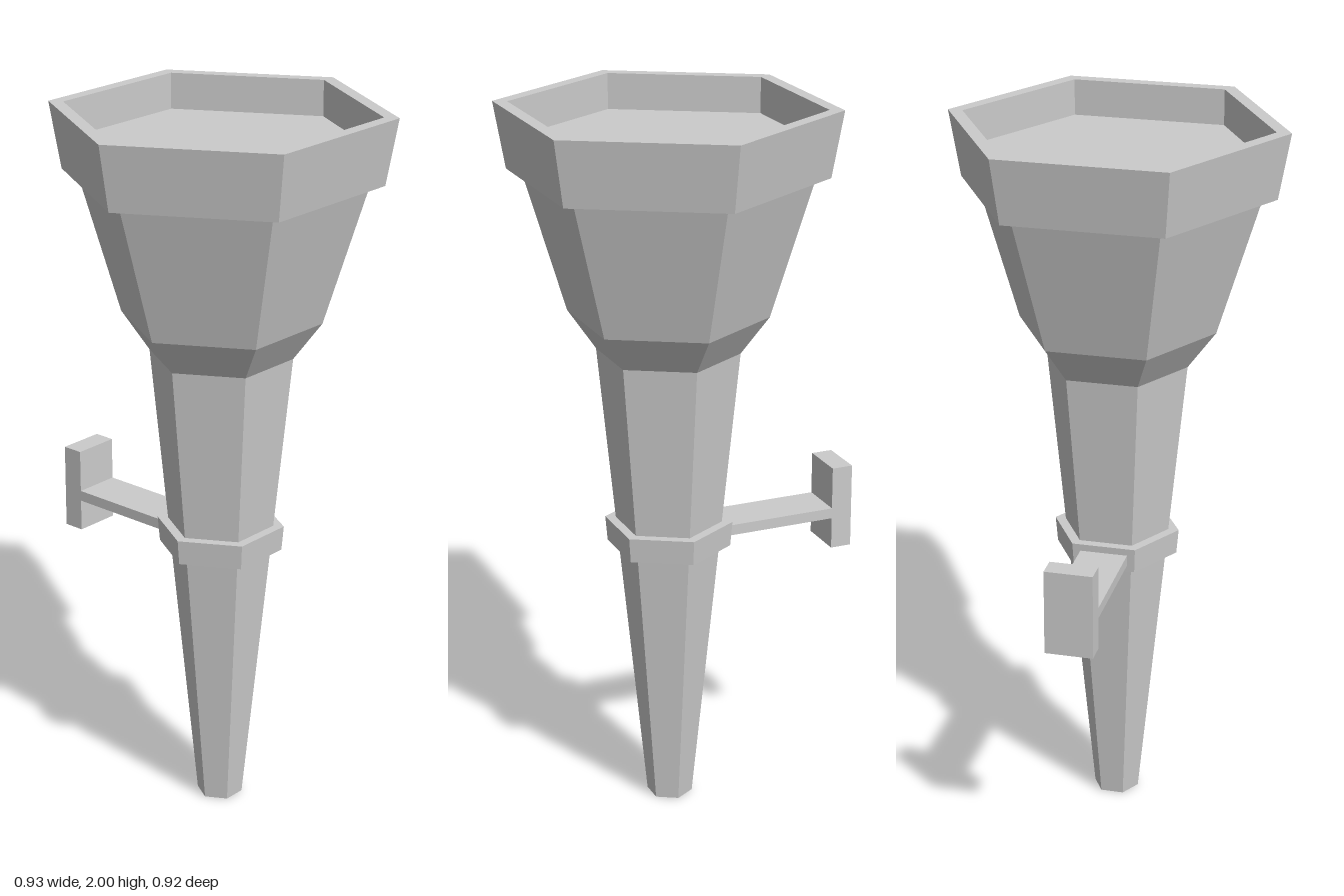
import * as THREE from 'three';

const material = new THREE.MeshStandardMaterial({ color: 0xcccccc, flatShading: true });

// Six-sided solid from [radius, height] pairs, listed from the bottom up the outside
function hexLathe(name, profile) {
  const points = profile.map(([r, y]) => new THREE.Vector2(r, y));
  const mesh = new THREE.Mesh(new THREE.LatheGeometry(points, 6), material);
  mesh.name = name;
  mesh.position.x = 0.065;
  return mesh;
}

// Box given by its x and y limits and its depth
function block(name, x0, x1, y0, y1, depth) {
  const mesh = new THREE.Mesh(new THREE.BoxGeometry(x1 - x0, y1 - y0, depth), material);
  mesh.name = name;
  mesh.position.set((x0 + x1) / 2, (y0 + y1) / 2, 0);
  return mesh;
}

export function createModel() {
  const group = new THREE.Group();
  group.name = 'wallTorch';

  // Tapered shaft flaring into the head
  group.add(hexLathe('shaft', [
    [0, 0], [0.064, 0], [0.196, 1.33], [0.273, 1.435], [0.39, 1.82], [0, 1.82],
  ]));

  // Rim with a shallow recessed bowl
  group.add(hexLathe('rim', [
    [0.38, 1.82], [0.429, 1.82], [0.461, 2], [0.421, 2], [0.421, 1.9], [0, 1.9],
  ]));

  // Ring clasping the shaft
  group.add(hexLathe('clampRing', [
    [0.135, 0.77], [0.171, 0.77], [0.177, 0.84], [0.14, 0.84],
  ]));

  // Bracket reaching to the wall plate
  group.add(block('bracketArm', -0.405, -0.07, 0.79, 0.82, 0.132));
  group.add(block('wallPlate', -0.465, -0.405, 0.7, 0.94, 0.132));

  return group;
}
